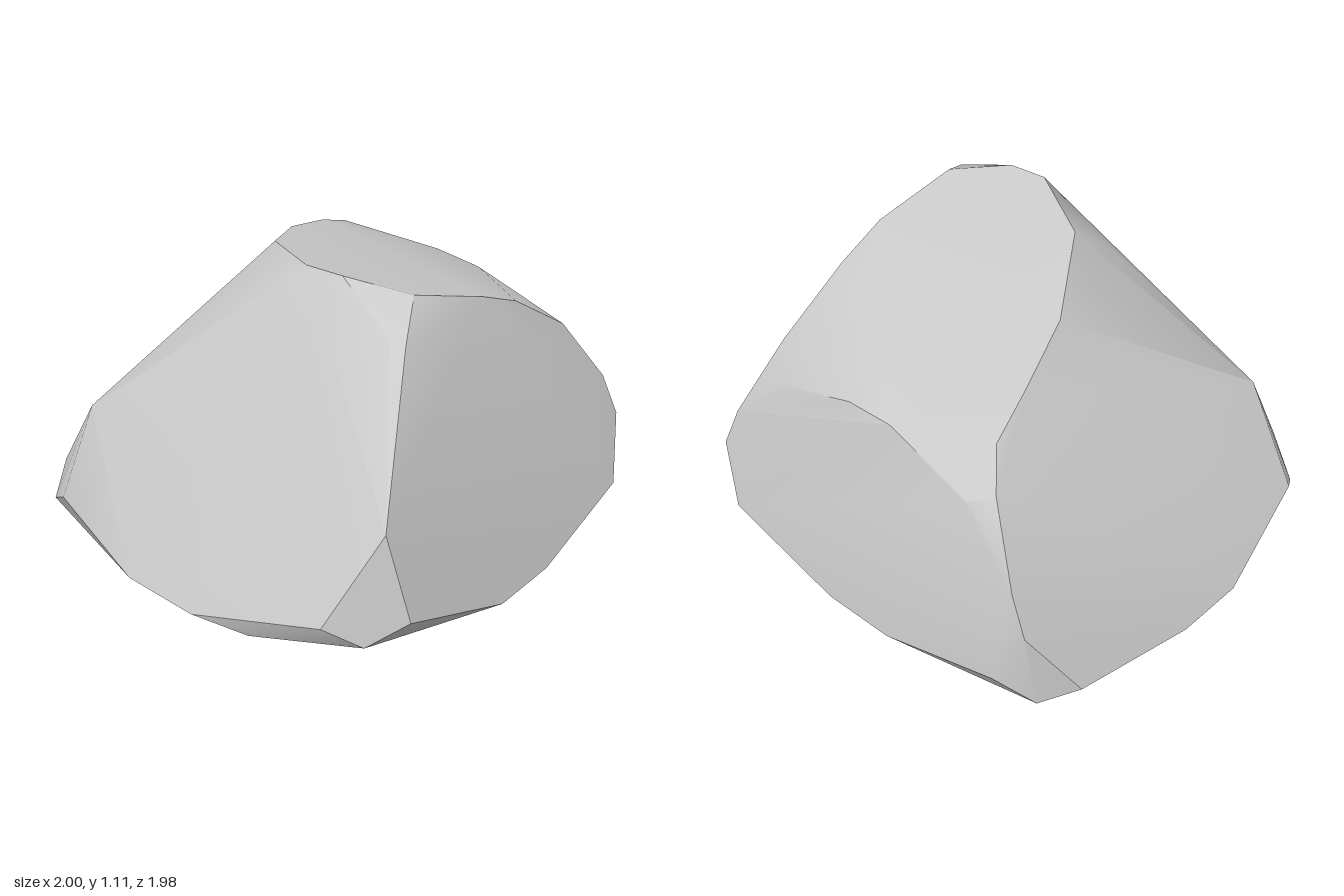
import * as THREE from 'three';
import { ConvexGeometry } from 'three/addons/geometries/ConvexGeometry.js';
import { toCreasedNormals } from 'three/addons/utils/BufferGeometryUtils.js';

// Corners of the boulder, grouped by the edge loop they belong to
const base = [
  [-0.27, 0, 0.985], [0.05, 0, 0.955], [0.70, 0, 0.62], [0.95, 0, 0.10], [0.975, 0, -0.20],
  [0.80, 0, -0.72], [0.27, 0, -0.99], [-0.02, 0, -0.99], [-0.60, 0, -0.65],
  [-0.94, 0, -0.15], [-1.0, 0, 0.20], [-0.99, 0, 0.45], [-0.75, 0, 0.75],
];

// Each chipped lower corner: apex, two side points and a low point
const chippedCorners = [
  [-0.84, 0.46, 0.91], [-0.80, 0.15, 0.985], [-1.0, 0.14, 0.77], [-0.91, 0.07, 0.88],
  [0.81, 0.30, 0.76], [0.63, 0.10, 0.87], [0.88, 0.10, 0.64], [0.77, 0.05, 0.75],
  [0.97, 0.34, -0.83], [1.0, 0.12, -0.71], [0.80, 0.065, -0.94], [0.93, 0.04, -0.85],
  [-0.62, 0.43, -0.63], [-0.78, 0.11, -0.64], [-0.53, 0.11, -0.88], [-0.67, 0.02, -0.80],
];

// Upper edges of the front, right and left faces, and the ridge above the back
const frontEdge = [
  [-0.48, 0.95, 0.71], [-0.29, 1.05, 0.60], [0.05, 0.96, 0.65], [0.27, 0.88, 0.64],
  [0.59, 0.70, 0.64], [0.78, 0.45, 0.71],
];
const rightEdge = [
  [0.75, 0.65, 0.48], [0.78, 0.76, 0.12], [0.81, 0.78, -0.10],
  [0.885, 0.70, -0.51], [0.95, 0.48, -0.76],
];
const leftEdge = [
  [-0.50, 0.96, 0.66], [-0.40, 1.10, 0.38], [-0.40, 1.105, 0.22],
  [-0.42, 0.89, -0.12], [-0.50, 0.66, -0.40],
];
const backRidge = [
  [-0.20, 1.075, -0.09], [0.18, 0.985, -0.33], [0.50, 0.91, -0.44],
  [0.72, 0.84, -0.50], [0.84, 0.74, -0.60],
];

export function createModel() {
  const group = new THREE.Group();
  group.name = 'rock';

  const corners = [base, chippedCorners, frontEdge, rightEdge, leftEdge, backRidge]
    .flat().map((p) => new THREE.Vector3(...p));

  // One convex stone, soft over shallow bends and crisp at the main edges
  const geometry = toCreasedNormals(new ConvexGeometry(corners), THREE.MathUtils.degToRad(32));
  const boulder = new THREE.Mesh(geometry, new THREE.MeshStandardMaterial({ color: 0xcccccc }));
  boulder.name = 'boulder';
  group.add(boulder);
  return group;
}
